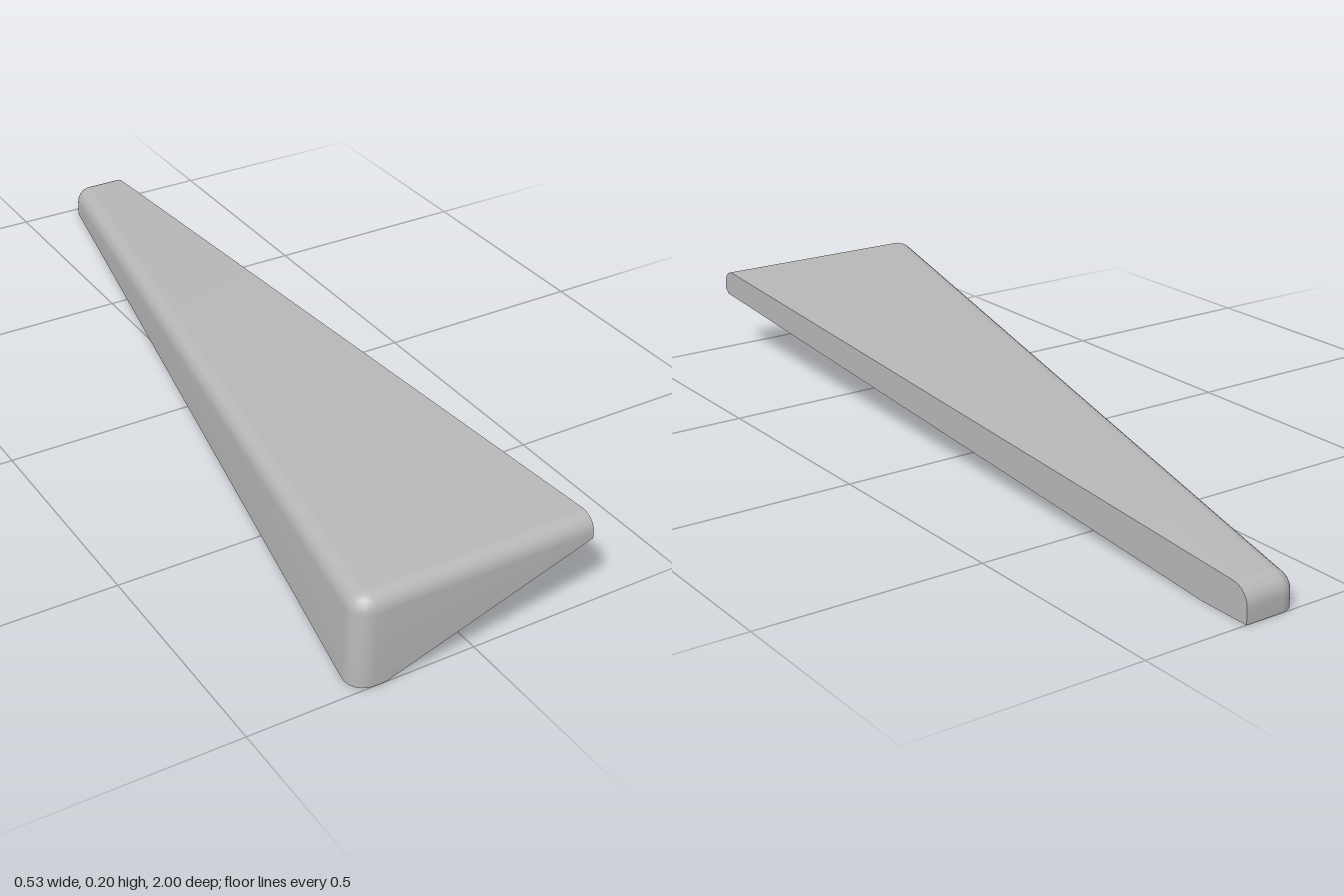
import * as THREE from 'three';
import { toCreasedNormals } from 'three/addons/utils/BufferGeometryUtils.js';

const X = 0.267;          // flat cut side
const CORNER = 0.04;      // plan corner radius
const FILLET = 0.038;     // top edge rounding
const STEPS = 6;
const topAt = (z) => 0.139 + 0.068 * z;

// Plan outline inset by d, from the front cut corner round to the back one
function outline(d) {
  const pts = [[X, 1 - d], [-0.2, 1 - d]];
  const arc = (cx, cz, from, to) => {
    for (let i = 0; i <= STEPS; i++) {
      const a = THREE.MathUtils.degToRad(from + (to - from) * i / STEPS);
      pts.push([cx + (CORNER - d) * Math.cos(a), cz + (CORNER - d) * Math.sin(a)]);
    }
  };
  arc(-0.227, 0.96, 90, 192);
  arc(0.18, -0.96, 192, 270);
  pts.push([X, -1 + d]);
  return pts;
}

export function createModel() {
  const grey = new THREE.MeshStandardMaterial({ color: 0xb8b8b8 });
  grey.name = 'plainGrey';
  const positions = [];
  const tri = (...corners) => corners.forEach((p) => positions.push(...p));
  const fan = (hub, pts) => {
    for (let i = 0; i < pts.length - 1; i++) tri(hub, pts[i], pts[i + 1]);
  };

  // Rings: foot of the wall, then the rounded top edge
  const rings = [outline(0).map(([x, z], i) => [x, i === 0 ? 0.157 : 0, z])];
  for (let k = 0; k <= STEPS; k++) {
    const a = k / STEPS * Math.PI / 2;
    rings.push(outline(FILLET * (1 - Math.cos(a)))
      .map(([x, z]) => [x, topAt(z) - FILLET * (1 - Math.sin(a)), z]));
  }
  const foot = rings[0];
  const last = foot.length - 1;

  // Walls and rounded edge
  for (let r = 0; r < rings.length - 1; r++) {
    const lo = rings[r], hi = rings[r + 1];
    for (let i = 0; i < last; i++) {
      tri(lo[i], hi[i], lo[i + 1]);
      tri(lo[i + 1], hi[i], hi[i + 1]);
    }
  }

  // Sloping top
  const crown = rings[rings.length - 1];
  fan(crown[last], crown.slice(0, last).reverse());

  // Underside: flat strip, sloping relief and the small front bevel
  const heel = [X, 0, -0.88];
  const lip = [X, 0.145, 0.988];
  fan(heel, foot.slice(1));
  tri(lip, foot[1], heel);
  tri(foot[0], foot[1], lip);

  // Flat cut side
  const frontEdge = rings.map((r) => r[0]);
  const backEdge = rings.map((r) => r[last]).reverse();
  fan(heel, [lip, ...frontEdge, ...backEdge].reverse());

  const geometry = new THREE.BufferGeometry();
  geometry.setAttribute('position', new THREE.Float32BufferAttribute(positions, 3));
  const wedge = new THREE.Mesh(toCreasedNormals(geometry, 0.4), grey);
  wedge.name = 'taperedWedge';

  const group = new THREE.Group();
  group.name = 'wedge';
  group.add(wedge);
  return group;
}
